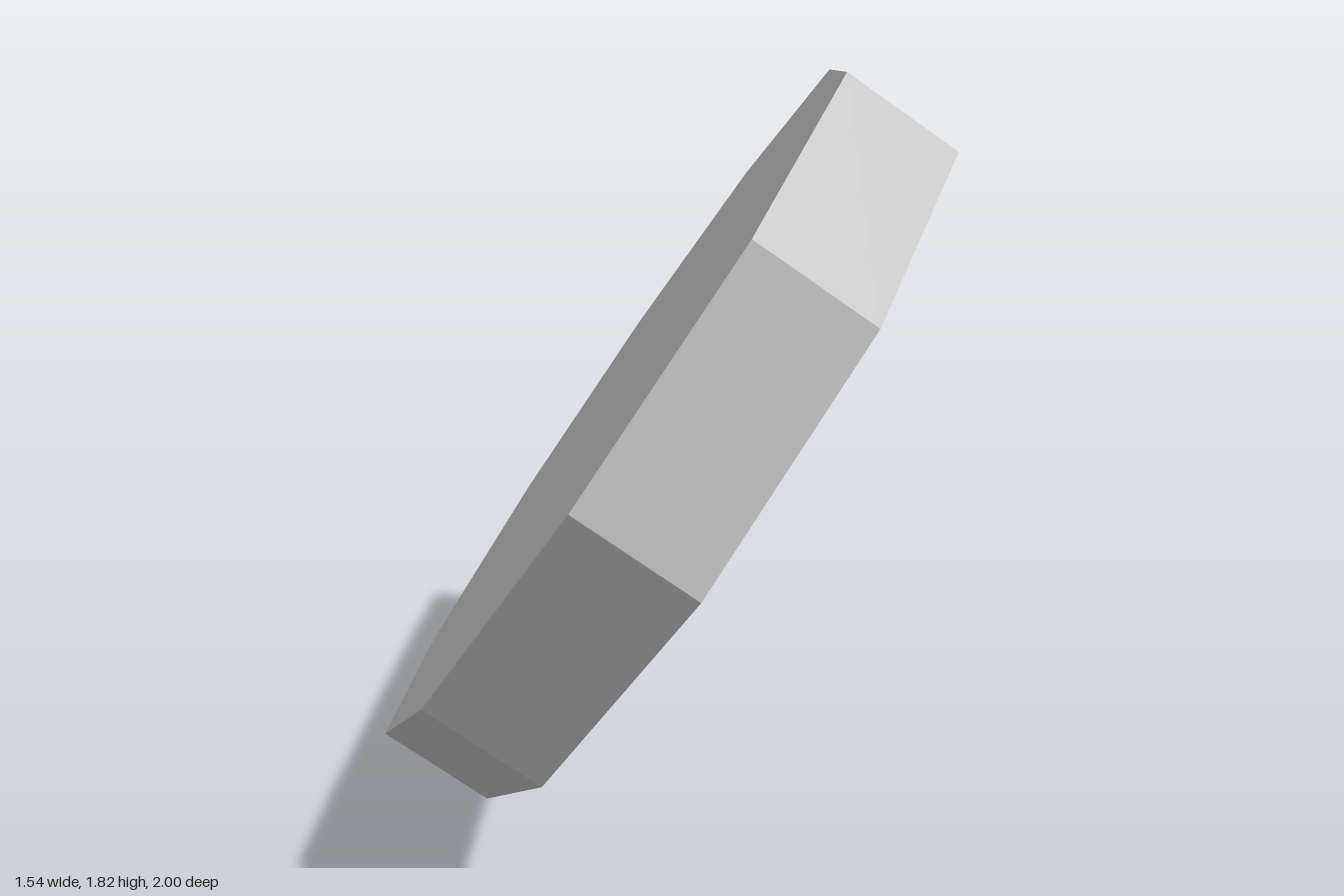
import * as THREE from 'three';

export function createModel() {
  const group = new THREE.Group();
  group.name = 'tiltedDisc';

  const grey = new THREE.MeshStandardMaterial({ color: 0xc0c0c0 });
  grey.name = 'light grey';
  grey.flatShading = true;

  // Ten-sided slab
  const disc = new THREE.Mesh(new THREE.CylinderGeometry(1.03, 1.03, 0.307, 10), grey);
  disc.name = 'decagonalDisc';

  // Tilt: the axis follows the face normal, one corner points along `corner`
  const axis = new THREE.Vector3(-0.743, 0.566, 0.357).normalize();
  const corner = new THREE.Vector3(0.655, 0.785, 0.118);
  corner.addScaledVector(axis, -corner.dot(axis)).normalize();
  const side = new THREE.Vector3().crossVectors(axis, corner);
  disc.quaternion.setFromRotationMatrix(new THREE.Matrix4().makeBasis(side, axis, corner));
  disc.position.y = 0.913;

  group.add(disc);
  return group;
}
